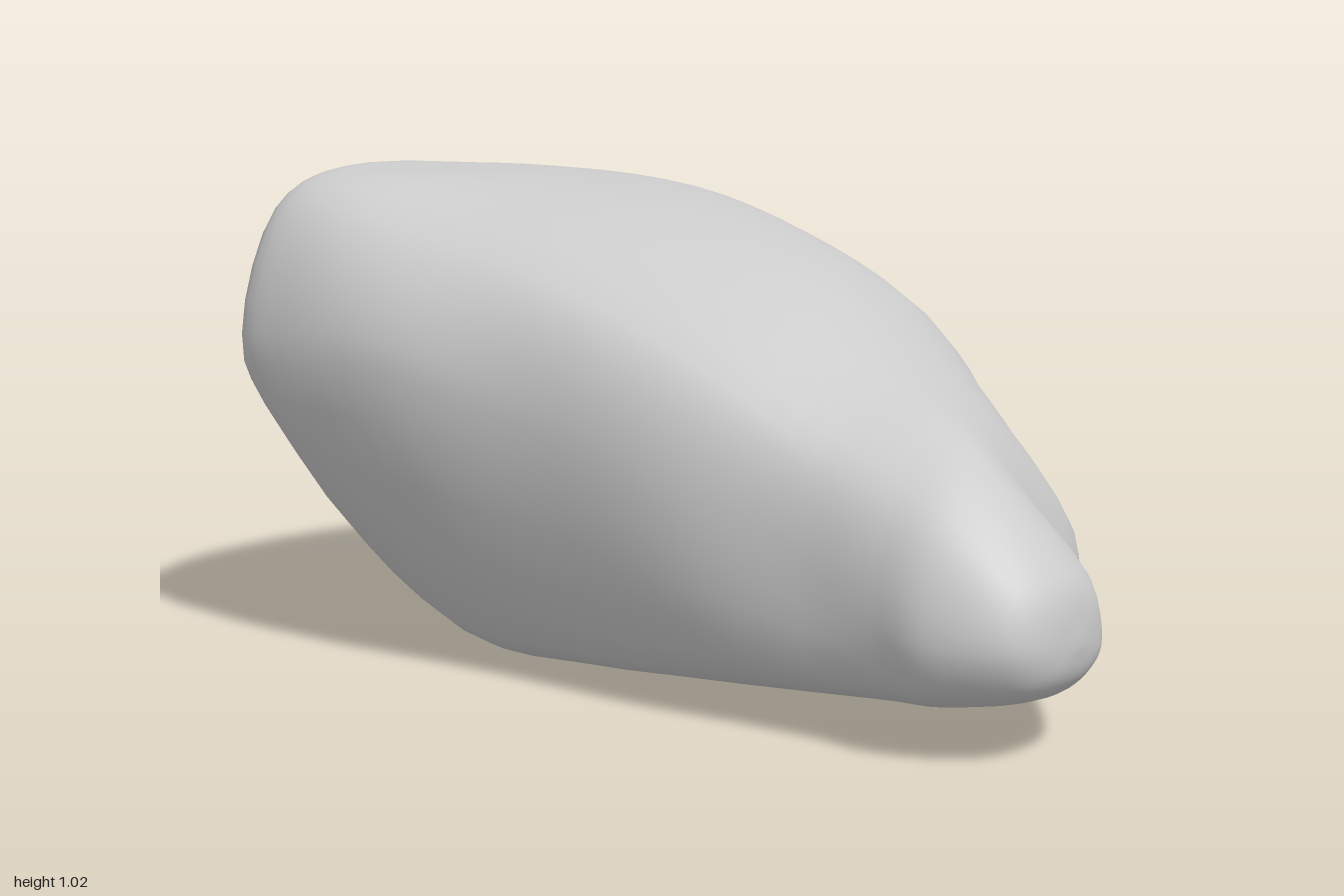
import * as THREE from 'three';
import { mergeVertices } from 'three/addons/utils/BufferGeometryUtils.js';

// Cross-sections from the low toe (+z) to the tall back (-z).
// Each ring: left, lower left, bottom, lower right, right, upper right, top, upper left.
const toeRings = [
  [0.94, [-.51, .22], [-.46, .14], [-.34, .115], [-.24, .13], [-.18, .18], [-.22, .32], [-.36, .38], [-.47, .33]],
  [0.80, [-.563, .23], [-.51, .115], [-.3, .09], [-.1, .11], [0, .16], [-.17, .42], [-.34, .515], [-.5, .42]],
  [0.68, [-.55, .26], [-.505, .11], [-.28, .082], [.02, .12], [.21, .255], [-.06, .5], [-.31, .585], [-.495, .47]],
  [0.52, [-.545, .31], [-.5, .1], [-.25, .072], [.14, .115], [.36, .27], [.11, .565], [-.27, .65], [-.49, .54]],
  [0.25, [-.585, .42], [-.495, .085], [-.24, .048], [.2, .09], [.46, .27], [.365, .655], [-.06, .81], [-.5, .68]],
];
const bodyRings = [
  [-0.10, [-.6, .54], [-.46, .065], [-.24, .012], [.25, .09], [.547, .335], [.485, .775], [.05, .925], [-.5, .81]],
  [-0.45, [-.65, .63], [-.44, .08], [-.22, .008], [.3, .13], [.635, .46], [.58, .87], [.02, .985], [-.5, .89]],
  [-0.75, [-.63, .61], [-.45, .27], [-.1, .2], [.32, .27], [.6, .56], [.535, .91], [-.15, 1.01], [-.51, .95]],
  [-0.90, [-.59, .61], [-.42, .45], [0, .37], [.28, .45], [.45, .66], [.37, .89], [-.25, 1.015], [-.49, .93]],
  [-0.97, [-.46, .64], [-.32, .57], [0, .54], [.18, .61], [.27, .74], [.22, .87], [-.1, .93], [-.34, .82]],
];

const toRing = ([z, ...points]) => points.map(([x, y]) => new THREE.Vector3(x, y, z));

// Shrinks an end ring towards its tip; z moves faster than the outline, giving a blunt end
const shrinkRing = (ring, tip, scale, z) => ring.map((p) => p.clone().lerp(tip, 1 - scale).setZ(z));

function createStoneGeometry(along = 52, around = 40) {
  const rings = [...toeRings, ...bodyRings].map(toRing);
  const toeTip = new THREE.Vector3(-.345, .22, 1);
  const backTip = new THREE.Vector3(0, .77, -1);
  const first = rings[0];
  const last = rings[rings.length - 1];
  rings.unshift(first.map(() => toeTip.clone()), shrinkRing(first, toeTip, .6, .985));
  rings.push(shrinkRing(last, backTip, .5, -.993), last.map(() => backTip.clone()));

  // Smooth rails run lengthwise; closed splines join them into rings
  const rails = first.map((_, k) => new THREE.CatmullRomCurve3(rings.map((ring) => ring[k])));
  const positions = [];
  const indices = [];
  for (let i = 0; i <= along; i++) {
    const atTip = i === 0 || i === along;
    const points = rails.map((rail) => rail.getPoint(i / along));
    const outline = new THREE.CatmullRomCurve3(points, true);
    for (let j = 0; j < around; j++) {
      const p = atTip ? points[0] : outline.getPoint(j / around);
      positions.push(p.x, Math.max(0, p.y), p.z);
      if (i === along) continue;
      const a = i * around + j;
      const b = i * around + (j + 1) % around;
      if (i > 0) indices.push(a, a + around, b);
      if (i < along - 1) indices.push(b, a + around, b + around);
    }
  }
  let geometry = new THREE.BufferGeometry();
  geometry.setAttribute('position', new THREE.Float32BufferAttribute(positions, 3));
  geometry.setIndex(indices);
  geometry = mergeVertices(geometry, 1e-5);
  geometry.computeVertexNormals();
  return geometry;
}

export function createModel() {
  const model = new THREE.Group();
  model.name = 'rock';
  const stone = new THREE.Mesh(
    createStoneGeometry(),
    new THREE.MeshStandardMaterial({ color: 0xcccccc })
  );
  stone.name = 'stone';
  model.add(stone);
  return model;
}
